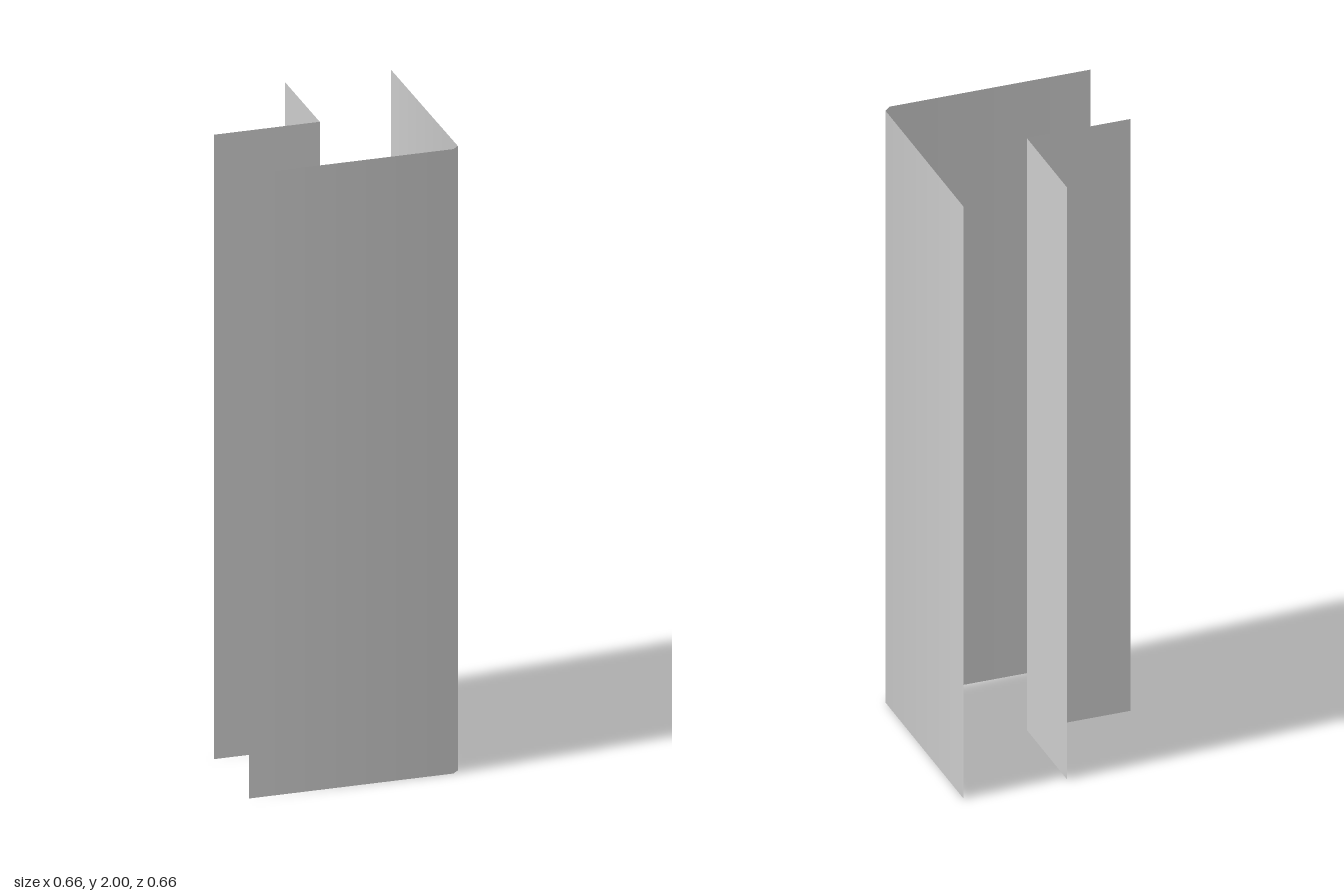
import * as THREE from 'three';

const HEIGHT = 2;
const HALF = 0.33;
const BEVEL = 0.02;

// Sweeps an open plan profile of [x, z, normalAngle] straight up into a thin sheet.
// normalAngle is measured in degrees from +z towards +x.
function uprightSheet(name, profile, flatShading) {
  const positions = [], normals = [], index = [];
  profile.forEach(([x, z, degrees], i) => {
    const a = THREE.MathUtils.degToRad(degrees);
    for (const y of [0, HEIGHT]) {
      positions.push(x, y, z);
      normals.push(Math.sin(a), 0, Math.cos(a));
    }
    if (i > 0) {
      const p = 2 * (i - 1), q = 2 * i;
      index.push(p, q, q + 1, p, q + 1, p + 1);
    }
  });
  const geometry = new THREE.BufferGeometry();
  geometry.setAttribute('position', new THREE.Float32BufferAttribute(positions, 3));
  geometry.setAttribute('normal', new THREE.Float32BufferAttribute(normals, 3));
  geometry.setIndex(index);
  const mesh = new THREE.Mesh(geometry, new THREE.MeshStandardMaterial({
    color: 0xcccccc, side: THREE.DoubleSide, flatShading,
  }));
  mesh.name = name;
  return mesh;
}

export function createModel() {
  const model = new THREE.Group();
  model.name = 'cornerPanels';

  // Outer corner sheet, softly shaded over a small bevel
  model.add(uprightSheet('outerCornerSheet', [
    [-HALF, HALF, 0],
    [HALF - BEVEL, HALF, 30],
    [HALF, HALF - BEVEL, 60],
    [HALF, -HALF, 90],
  ], false));

  // Inner corner sheet, with a sharp fold on the centre axis
  model.add(uprightSheet('innerCornerSheet', [
    [-HALF, 0, 0],
    [0, 0, 45],
    [0, -HALF, 90],
  ], true));

  return model;
}
